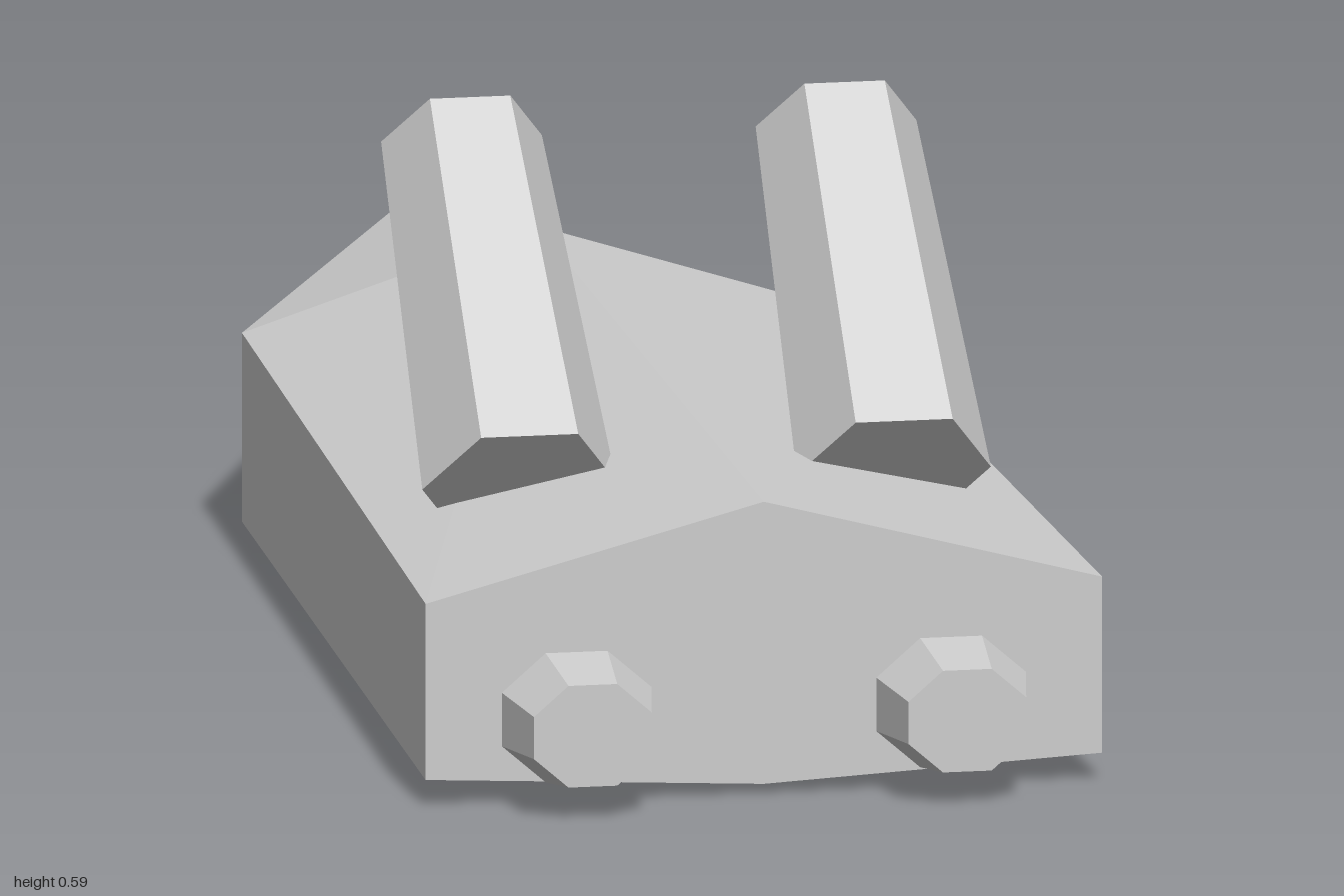
import * as THREE from 'three';

const hullGrey = new THREE.MeshStandardMaterial({ color: 0xcccccc, flatShading: true });
hullGrey.name = 'hullGrey';

// Six-cornered cross-section: ridge, side corners, keel, mirrored side corners
function section({ z, zMid = z, half, ridge, upper, lower, keel }) {
  return [
    [0, ridge, zMid], [half, upper, z], [half, lower, z],
    [0, keel, zMid], [-half, lower, z], [-half, upper, z],
  ];
}

// Joins the cross-sections with flat triangles and closes both ends
function loft(sections) {
  const pos = [];
  const tri = (a, b, c) => pos.push(...a, ...b, ...c);
  const n = sections[0].length;
  for (let s = 0; s < sections.length - 1; s++) {
    const A = sections[s], B = sections[s + 1];
    for (let i = 0; i < n; i++) {
      const j = (i + 1) % n;
      tri(A[i], A[j], B[j]);
      tri(A[i], B[j], B[i]);
    }
  }
  const first = sections[0], last = sections[sections.length - 1];
  for (let i = 1; i < n - 1; i++) {
    tri(first[0], first[i + 1], first[i]);
    tri(last[0], last[i], last[i + 1]);
  }
  const geo = new THREE.BufferGeometry();
  geo.setAttribute('position', new THREE.Float32BufferAttribute(pos, 3));
  geo.computeVertexNormals();
  return geo;
}

export function createModel() {
  const model = new THREE.Group();
  model.name = 'hoverCraft';

  const add = (name, geo) => {
    const mesh = new THREE.Mesh(geo, hullGrey);
    mesh.name = name;
    model.add(mesh);
    return mesh;
  };

  // Long wedge hull narrowing to a blunt nose
  add('hull', loft([
    section({ z: 0.91, half: 0.345, ridge: 0.3, upper: 0.209, lower: 0.028, keel: 0.01 }),
    section({ z: -0.32, zMid: -0.34, half: 0.305, ridge: 0.308, upper: 0.215, lower: 0.021, keel: 0.003 }),
    section({ z: -1, half: 0.048, ridge: 0.2, upper: 0.14, lower: 0.038, keel: 0 }),
  ]));

  for (const [side, label] of [[1, 'left'], [-1, 'right']]) {
    // Tapered octagonal nozzle, slightly squashed
    const nozzle = new THREE.CylinderGeometry(0.065, 0.0825, 0.09, 8);
    nozzle.rotateY(Math.PI / 8).rotateX(Math.PI / 2).scale(1, 0.87, 1);
    add(label + 'Nozzle', nozzle).position.set(side * 0.191, 0.087, 0.955);

    // Tapered hexagonal pod leaning toward the nose
    const pod = new THREE.CylinderGeometry(0.082, 0.099, 0.429, 6);
    pod.rotateY(Math.PI / 6).rotateX(-0.839);
    add(label + 'Pod', pod).position.set(side * 0.191, 0.398, 0.4345);
  }

  return model;
}
